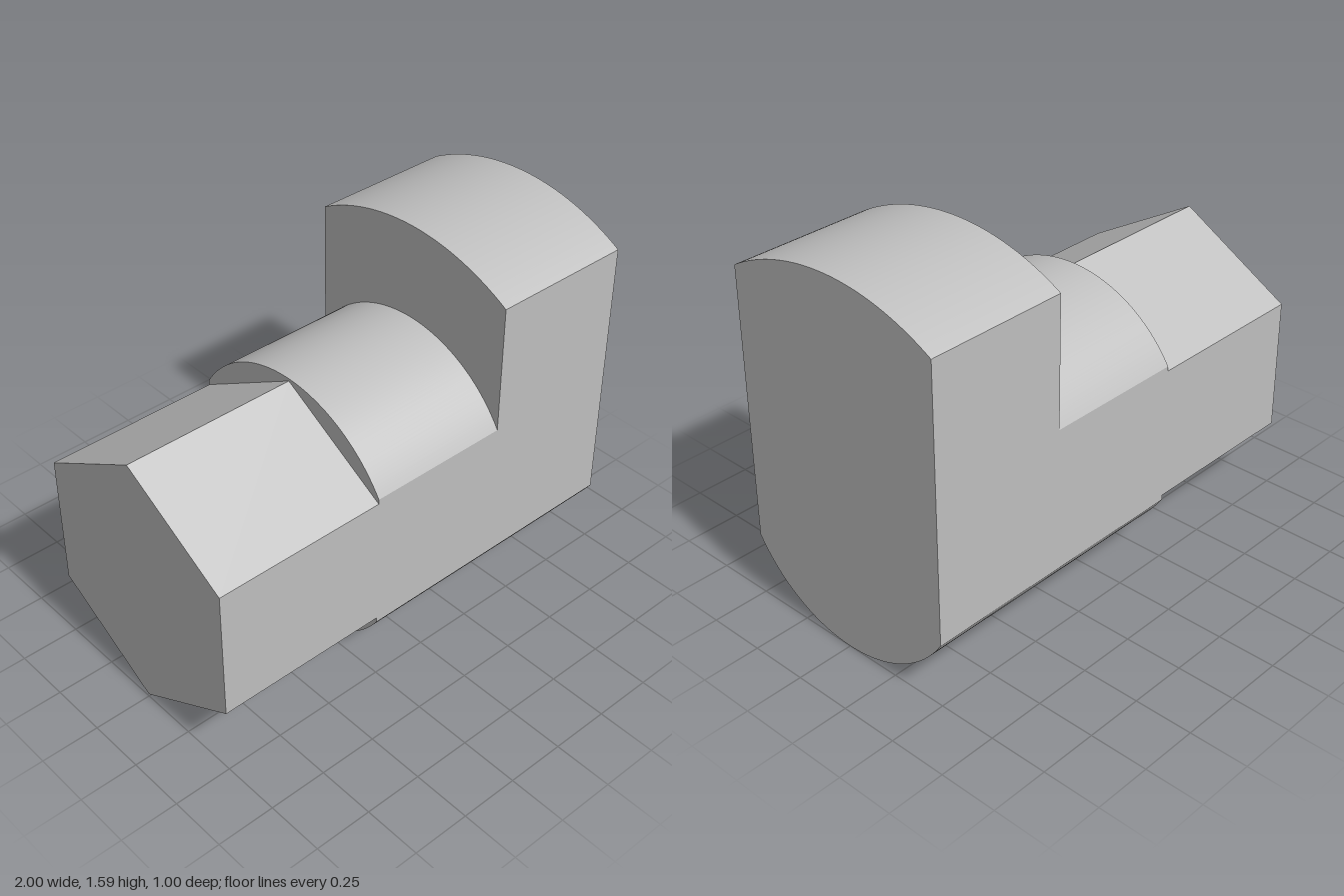
import * as THREE from 'three';
import { toCreasedNormals } from 'three/addons/utils/BufferGeometryUtils.js';

const HALF = 0.5;    // half width of the flat sides
const AXIS = 0.588;  // height of the shaft axis
const SHAFT_R = 0.588;
const HEAD_R = 1;

// Flat-sided profile closed by an arc at the top and one at the bottom
function flatSidedProfile(topR, bottomR) {
  const top = Math.acos(HALF / topR);
  const bottom = Math.acos(HALF / bottomR);
  const shape = new THREE.Shape();
  shape.absarc(0, AXIS, topR, top, Math.PI - top, false);
  shape.absarc(0, AXIS, bottomR, Math.PI + bottom, Math.PI * 2 - bottom, false);
  shape.closePath();
  return shape;
}

// Hexagon with a point up, as wide as the flat sides
function hexProfile() {
  const r = HALF / Math.cos(Math.PI / 6);
  const points = [];
  for (let i = 0; i < 6; i++) {
    const a = Math.PI / 6 + i * Math.PI / 3;
    points.push(new THREE.Vector2(r * Math.cos(a), AXIS + r * Math.sin(a)));
  }
  return new THREE.Shape(points);
}

export function createModel() {
  const group = new THREE.Group();
  group.name = 'hexTailedBlock';
  const grey = new THREE.MeshStandardMaterial({ color: 0xbfbfbf });
  grey.name = 'grey';

  // Extrude a profile along x between two positions
  function addSection(name, shape, x0, x1) {
    const geometry = new THREE.ExtrudeGeometry(shape, {
      depth: x1 - x0, bevelEnabled: false, curveSegments: 40,
    });
    geometry.rotateY(Math.PI / 2);
    geometry.translate(x0, 0, 0);
    const mesh = new THREE.Mesh(toCreasedNormals(geometry, 0.3), grey);
    mesh.name = name;
    group.add(mesh);
  }

  addSection('hexTail', hexProfile(), -1, -0.25);
  addSection('shaft', flatSidedProfile(SHAFT_R, SHAFT_R), -0.25, 0.375);
  addSection('head', flatSidedProfile(HEAD_R, SHAFT_R), 0.375, 1);
  return group;
}
